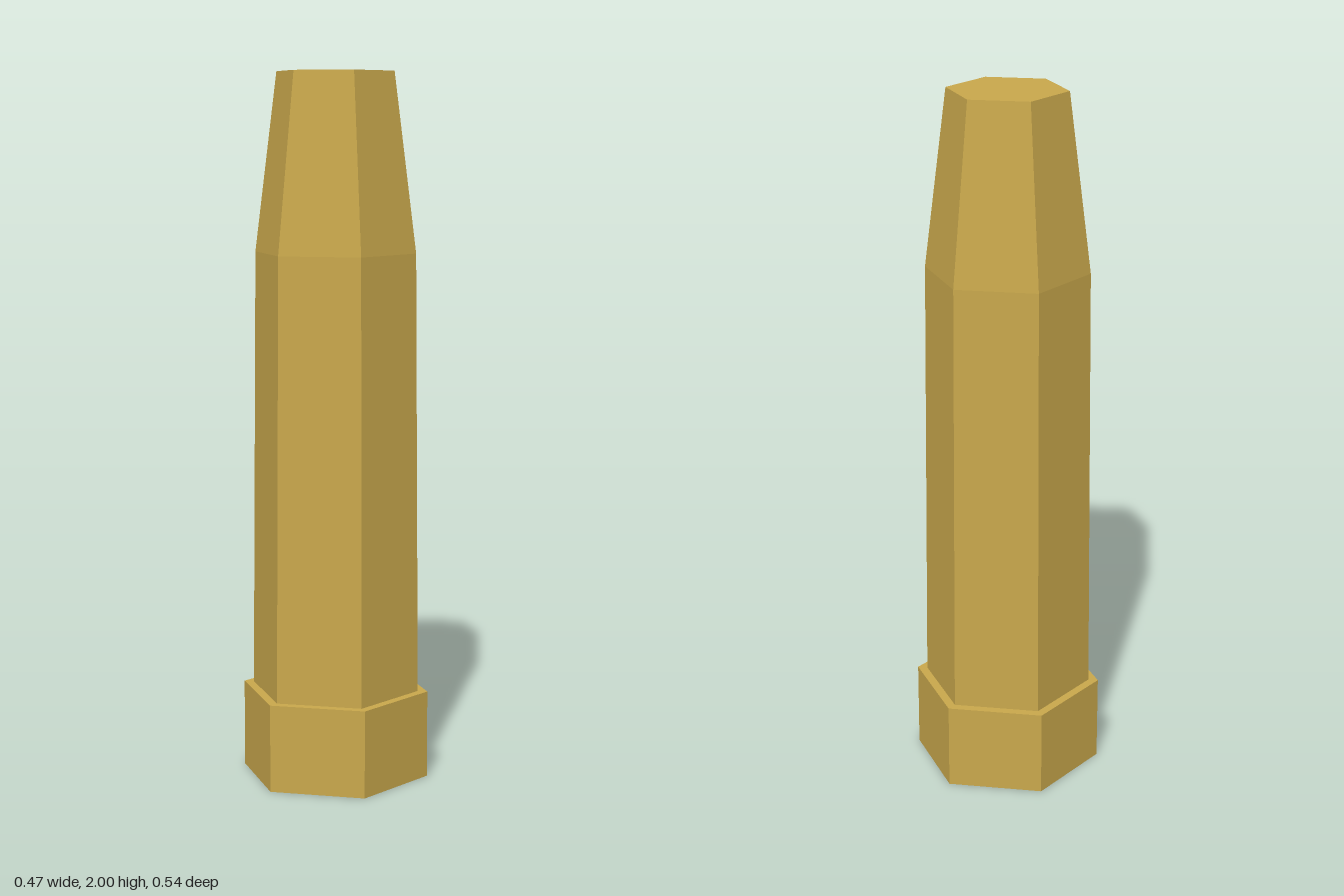
import * as THREE from 'three';

const brass = new THREE.MeshStandardMaterial({ color: 0xc9a84c });
brass.name = 'brass';

// Six-sided tapered section with corners on the z axis
function hexSection(name, bottomRadius, topRadius, y0, y1, open = false) {
  const indexed = new THREE.CylinderGeometry(topRadius, bottomRadius, y1 - y0, 6, 1, open);
  const geometry = indexed.toNonIndexed();
  geometry.computeVertexNormals(); // flat facets
  geometry.translate(0, (y0 + y1) / 2, 0);
  const mesh = new THREE.Mesh(geometry, brass);
  mesh.name = name;
  return mesh;
}

export function createModel() {
  const group = new THREE.Group();
  group.name = 'hexagonalPost';
  group.add(
    hexSection('baseCollar', 0.27, 0.27, 0, 0.25),
    hexSection('shaft', 0.242, 0.23, 0.25, 1.5, true),
    hexSection('taperedTip', 0.23, 0.167, 1.5, 2),
  );
  return group;
}
